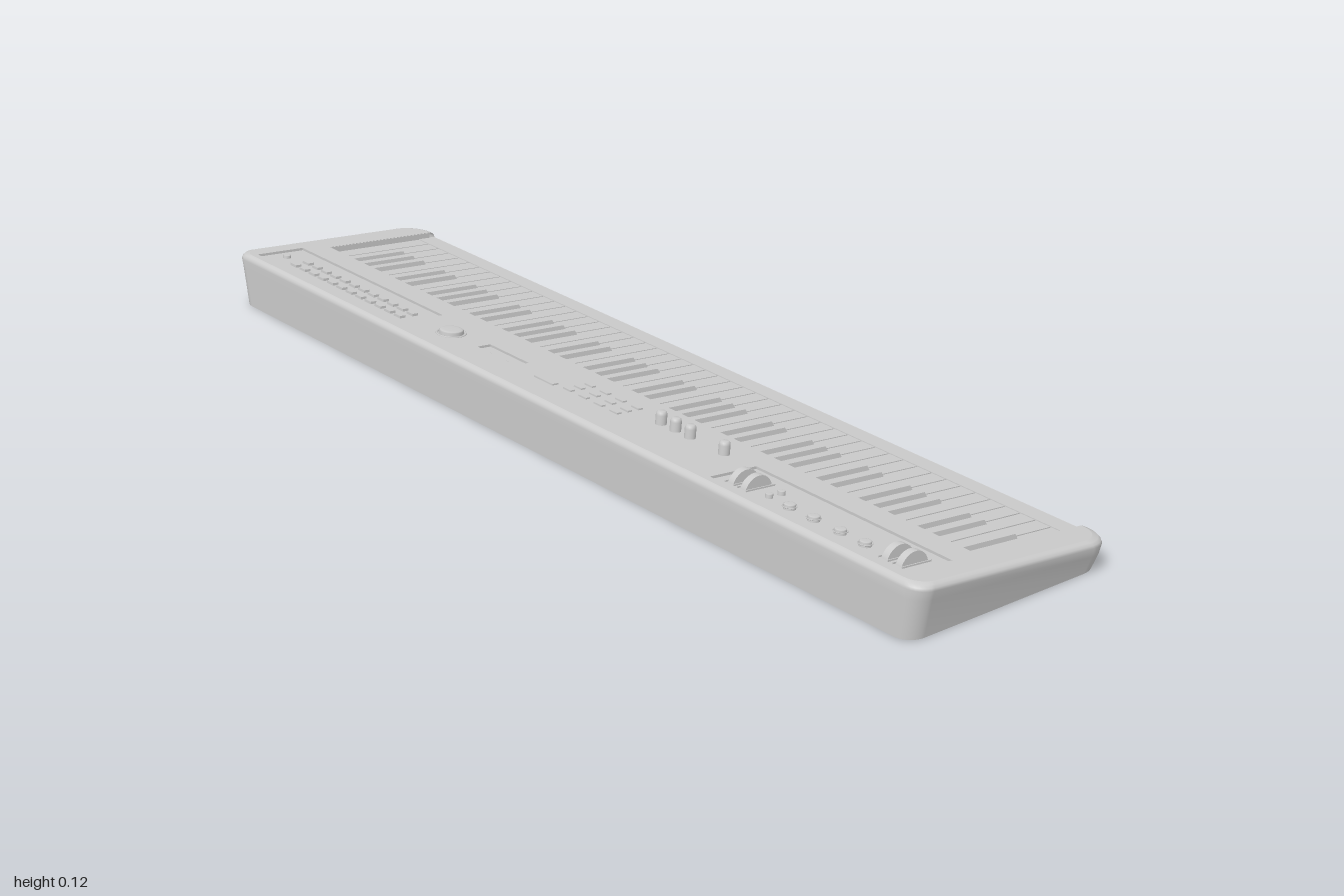
import * as THREE from 'three';

const SLOPE = 0.0989;
const deckY = (z) => 0.0838 + SLOPE * z; // height of the sloping top
const KEY_X = 0.936, KEY_BACK = 0.038, DEPTH = 0.226;

export function createModel() {
  const mat = new THREE.MeshStandardMaterial({ color: 0xcccccc, side: THREE.DoubleSide });
  const model = new THREE.Group();
  model.name = 'stagePiano';
  model.rotation.y = -0.0087;

  const add = (parent, name, geo, x = 0, y = 0, z = 0) => {
    const mesh = new THREE.Mesh(geo, mat);
    mesh.name = name;
    mesh.position.set(x, y, z);
    parent.add(mesh);
    return mesh;
  };
  const box = (parent, name, w, h, d, x, y, z) => add(parent, name, new THREE.BoxGeometry(w, h, d), x, y, z);

  // Plan outline running from one cheek end round the far side to the other
  const outline = (hw, hd) => {
    const pts = [[-KEY_X, -hd]];
    const corner = (cx, cz, r, start) => {
      for (let i = 0; i <= 8; i++) {
        const a = start - (i / 8) * Math.PI / 2;
        pts.push([cx + r * Math.cos(a), cz + r * Math.sin(a)]);
      }
    };
    const r1 = 0.048, r2 = 0.035;
    corner(-hw + r1, -hd + r1, r1, -Math.PI / 2);
    corner(-hw + r2, hd - r2, r2, Math.PI);
    corner(hw - r2, hd - r2, r2, Math.PI / 2);
    corner(hw - r1, -hd + r1, r1, 0);
    pts.push([KEY_X, -hd]);
    return pts;
  };

  // Outer shell: flared walls with a rolled top edge, open underneath
  const rows = [
    [0.98, DEPTH, null], [0.995, DEPTH, 0.03], [1.0, DEPTH, 0.012],
    [0.9985, 0.2245, 0.007], [0.995, 0.221, 0.0025], [0.988, 0.214, 0],
  ];
  const pos = [], idx = [];
  const n = outline(1, DEPTH).length;
  rows.forEach(([hw, hd, drop], r) => {
    outline(hw, hd).forEach(([x, z], i) => {
      pos.push(x, drop === null ? 0 : deckY(z) - drop, z);
      if (r && i) {
        const a = (r - 1) * n + i - 1, b = a + 1, c = a + n, d = c + 1;
        idx.push(a, b, c, b, d, c);
      }
    });
  });
  const shell = new THREE.BufferGeometry();
  shell.setAttribute('position', new THREE.Float32BufferAttribute(pos, 3));
  shell.setIndex(idx);
  shell.computeVertexNormals();
  // outward-facing triangles
  if (shell.attributes.normal.getZ(Math.floor(n / 2)) < 0) {
    shell.setIndex(idx.map((_, i) => idx[i - (i % 3) + 2 - (i % 3)]));
    shell.computeVertexNormals();
  }
  add(model, 'shell', shell);

  // Top panel: U shape around the keys, with recesses for the controls
  const top = outline(0.988, 0.214);
  top.push([KEY_X, KEY_BACK], [-KEY_X, KEY_BACK]);
  const shape = new THREE.Shape(top.map(([x, z]) => new THREE.Vector2(x, -z)));
  const recess = (x0, x1, z0, z1) => shape.holes.push(new THREE.Path(
    [[x0, z0], [x1, z0], [x1, z1], [x0, z1]].map(([x, z]) => new THREE.Vector2(x, -z))));
  const recesses = [[-0.955, -0.465, 0.092, 0.2], [0.46, 0.94, 0.094, 0.199], [-0.28, -0.16, 0.115, 0.145]];
  recesses.forEach((r) => recess(...r));
  const panel = new THREE.ExtrudeGeometry(shape, { depth: 0.005, bevelEnabled: false });
  panel.translate(0, 0, -0.005);
  panel.rotateX(-Math.PI / 2);
  const p = panel.attributes.position;
  for (let i = 0; i < p.count; i++) p.setY(i, p.getY(i) + deckY(p.getZ(i)));
  panel.computeVertexNormals();
  add(model, 'topPanel', panel);

  // Everything on the sloping deck, y = 0 at its surface
  const deck = new THREE.Group();
  deck.name = 'deck';
  deck.position.y = deckY(0);
  deck.rotation.x = -Math.atan(SLOPE);
  model.add(deck);

  recesses.forEach(([x0, x1, z0, z1]) =>
    box(deck, 'recessFloor', x1 - x0 + 0.004, 0.002, z1 - z0 + 0.004, (x0 + x1) / 2, -0.006, (z0 + z1) / 2));

  // Key well walls and front key slip
  for (const s of [-1, 1]) {
    box(deck, 'cheekInnerWall', 0.003, 0.03, KEY_BACK + 0.214, s * KEY_X, -0.0155, (KEY_BACK - 0.214) / 2);
  }
  box(deck, 'keyWellBack', 2 * KEY_X, 0.025, 0.003, 0, -0.0135, KEY_BACK + 0.001);
  box(deck, 'keySlipTop', 2 * KEY_X, 0.004, 0.038, 0, -0.013, -0.206);
  box(model, 'keySlipFront', 2 * KEY_X, 0.05, 0.004, 0, 0.025, -DEPTH + 0.003);

  // 88 keys, lowest note at +x
  const pitch = (2 * KEY_X - 0.006) / 52;
  const whiteGeo = new THREE.BoxGeometry(pitch - 0.003, 0.014, 0.22);
  const blackGeo = new THREE.BoxGeometry(pitch * 0.55, 0.016, 0.135);
  const bp = blackGeo.attributes.position;
  for (let i = 0; i < bp.count; i++) { // sloped nose and narrowed top
    if (bp.getY(i) > 0) {
      bp.setX(i, bp.getX(i) * 0.8);
      if (bp.getZ(i) < 0) bp.setZ(i, bp.getZ(i) + 0.01);
    }
  }
  blackGeo.computeVertexNormals();
  for (let i = 0; i < 52; i++) {
    const x = KEY_X - 0.003 - (i + 0.5) * pitch;
    add(deck, 'whiteKey', whiteGeo, x, -0.018, -0.074);
    // scale starts on A: sharps follow A, C, D, F, G
    if ([0, 2, 3, 5, 6].includes(i % 7) && i < 51) add(deck, 'blackKey', blackGeo, x - pitch / 2, -0.01, -0.031);
  }

  // Round-topped knob reaching through the panel
  const knob = (name, r, h, below, x, z) => {
    const prof = [[r, -below], [r, h * 0.7], [r * 0.9, h * 0.9], [r * 0.65, h], [0, h]];
    add(deck, name, new THREE.LatheGeometry(prof.map(([a, b]) => new THREE.Vector2(a, b)), 20), x, 0, z);
  };
  const ring = (name, r, t, x, z) =>
    add(deck, name, new THREE.TorusGeometry(r, t, 6, 24).rotateX(Math.PI / 2), x, 0, z);

  knob('dataDial', 0.024, 0.009, 0.04, -0.368, 0.143);
  ring('dialRing', 0.028, 0.002, -0.368, 0.143);
  for (const x of [0.215, 0.255, 0.295, 0.387]) knob('tallKnob', 0.0105, 0.025, 0.01, x, 0.106);
  for (const x of [0.63, 0.69, 0.755, 0.815]) {
    knob('smallKnob', 0.011, 0.005, 0.012, x, 0.17);
    ring('knobRing', 0.0125, 0.001, x, 0.17);
  }
  for (const z of [0.138, 0.166]) knob('panelButton', 0.007, 0.003, 0.01, 0.574, z);

  // Control wheels, standing partly above the panel
  const wheelGeo = new THREE.CylinderGeometry(0.031, 0.031, 0.014, 28).rotateZ(Math.PI / 2);
  for (const x of [0.493, 0.525, 0.873, 0.906]) {
    add(deck, 'controlWheel', wheelGeo, x, -0.013, 0.152);
    for (const s of [-1, 1]) box(deck, 'wheelSlotEdge', 0.002, 0.004, 0.066, x + s * 0.011, -0.004, 0.152);
  }

  // Selector buttons in the left recess
  for (let c = 0; c < 12; c++) {
    for (const z of [0.135, 0.165]) box(deck, 'selectorButton', 0.021, 0.006, 0.013, -0.87 + c * 0.033, -0.003, z);
  }
  knob('powerButton', 0.008, 0.001, 0.008, -0.925, 0.15);

  // Display and centre buttons
  box(deck, 'display', 0.11, 0.003, 0.022, -0.22, -0.004, 0.13);
  box(deck, 'modeButton', 0.055, 0.004, 0.014, -0.065, 0.001, 0.148);
  for (let c = 0; c < 4; c++) {
    for (let r = 0; r < 3; r++) {
      box(deck, 'centreButton', 0.022, 0.004, 0.01, -0.005 + c * 0.045, 0.001, 0.092 + r * 0.025);
    }
  }
  return model;
}
